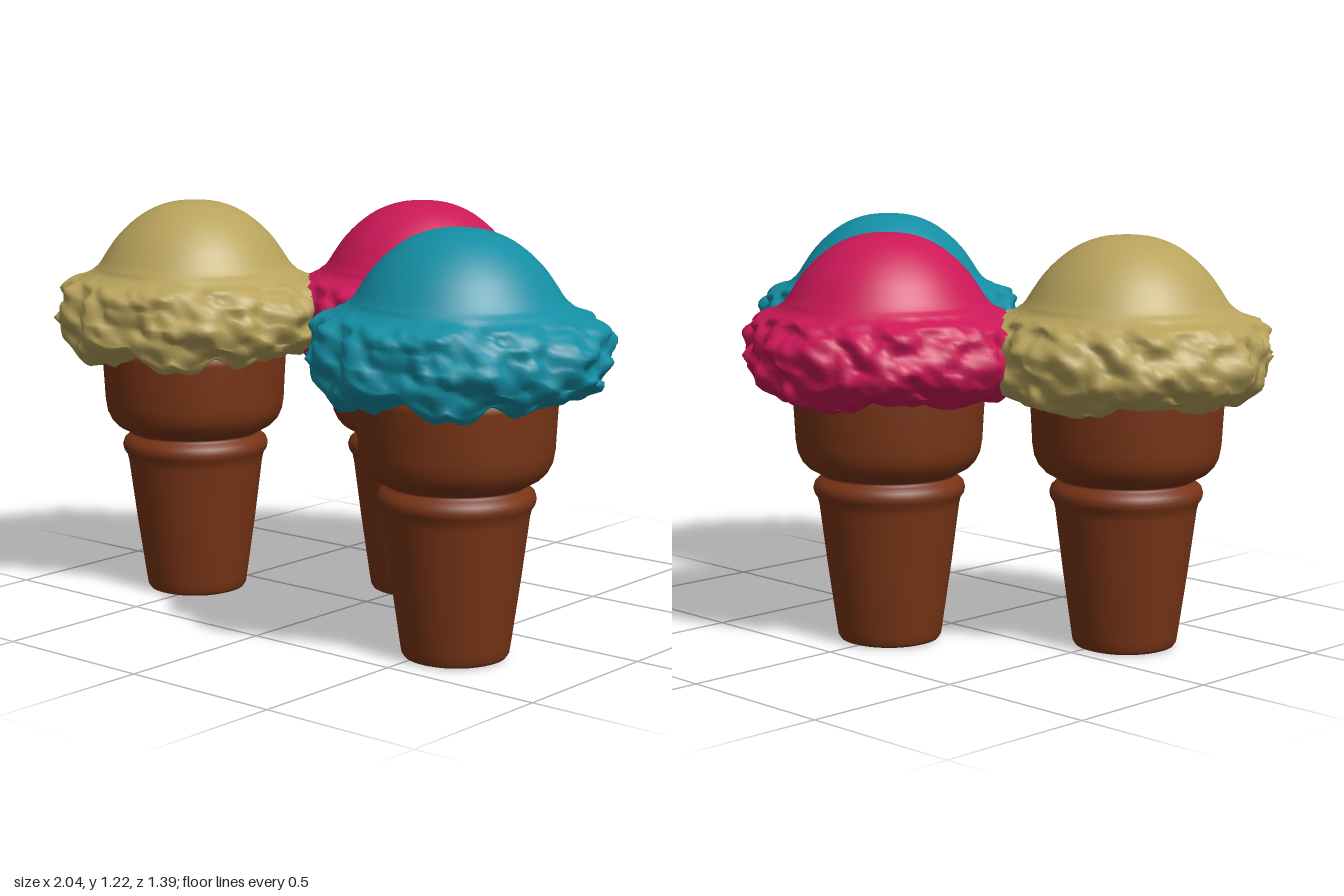
import * as THREE from 'three';
import { mergeVertices } from 'three/addons/utils/BufferGeometryUtils.js';

// Smooth value noise in 0..1, repeatable
const hash = (x, y, z) => {
  const s = Math.sin(x * 127.1 + y * 311.7 + z * 74.7) * 43758.5453;
  return s - Math.floor(s);
};
const fade = (t) => t * t * (3 - 2 * t);
const mix = THREE.MathUtils.lerp;
function noise(x, y, z) {
  const i = Math.floor(x), j = Math.floor(y), k = Math.floor(z);
  const u = fade(x - i), v = fade(y - j), w = fade(z - k);
  const row = (b, c) => mix(hash(i, b, c), hash(i + 1, b, c), u);
  return mix(mix(row(j, k), row(j + 1, k), v), mix(row(j, k + 1), row(j + 1, k + 1), v), w);
}

// Lathe a profile with a welded seam so the normals stay smooth
function turned(points, segments) {
  const g = new THREE.LatheGeometry(points, segments);
  g.deleteAttribute('uv');
  g.deleteAttribute('normal');
  const welded = mergeVertices(g, 1e-5);
  welded.computeVertexNormals();
  return welded;
}
const vectors = (list) => list.map(([r, y]) => new THREE.Vector2(r, y));

// Wafer cup: tapered foot, rounded collar, narrow neck and wide bowl
function waferGeometry() {
  return turned(vectors([
    [0, 0], [0.135, 0], [0.147, 0.004], [0.154, 0.015], [0.158, 0.04],
    [0.185, 0.23], [0.208, 0.41], [0.213, 0.432], [0.223, 0.447], [0.226, 0.462],
    [0.221, 0.478], [0.207, 0.491], [0.197, 0.497], [0.197, 0.503],
    [0.215, 0.511], [0.24, 0.525], [0.259, 0.545], [0.271, 0.57],
    [0.277, 0.605], [0.281, 0.68], [0.285, 0.745], [0.285, 0.77],
    [0.27, 0.775], [0, 0.775],
  ]), 64);
}

// Ice cream: smooth dome flowing into a rough, overhanging skirt
function scoopGeometry() {
  const curve = new THREE.SplineCurve(vectors([
    [0.235, 0.755], [0.3, 0.735], [0.352, 0.755], [0.395, 0.805], [0.412, 0.865],
    [0.402, 0.925], [0.372, 0.97], [0.325, 0.995], [0.295, 1.025], [0.272, 1.06],
    [0.24, 1.105], [0.195, 1.15], [0.14, 1.188], [0.075, 1.212], [0, 1.22],
  ]));
  const profile = curve.getPoints(64);
  profile[profile.length - 1].x = 0;
  const g = turned(profile, 144);
  const p = g.attributes.position;
  for (let i = 0; i < p.count; i++) {
    const x = p.getX(i), y = p.getY(i), z = p.getZ(i);
    const r = Math.hypot(x, z);
    const rough = 1 - THREE.MathUtils.smoothstep(y, 0.95, 1.01);
    if (rough === 0 || r < 0.01) continue;
    // Broad lobes, medium lumps and fine crumbs
    const lobe = noise(x * 7 + 9, 3, z * 7 + 9) - 0.5;
    const lump = noise(x * 17 + 20, y * 22, z * 17 + 20) - 0.5;
    const crumb = noise(x * 36 + 40, y * 44, z * 36 + 40) - 0.5;
    const push = rough * (lobe * 0.045 + lump * 0.055 + crumb * 0.022);
    // Uneven drips along the lower edge
    const low = 1 - THREE.MathUtils.smoothstep(y, 0.74, 0.84);
    const drip = low * (noise((x / r) * 5 + 50, 7, (z / r) * 5 + 50) - 0.5) * 0.07;
    const k = (r + push) / r;
    p.setXYZ(i, x * k * 1.03, y + drip + rough * crumb * 0.02, z * k * 0.985);
  }
  g.computeVertexNormals();
  return g;
}

export function createModel() {
  const model = new THREE.Group();
  model.name = 'iceCreamCones';
  const material = (color) => new THREE.MeshStandardMaterial({ color });
  const wafer = waferGeometry();
  const scoop = scoopGeometry();
  const waferMaterial = material(0x783416);

  const cones = [
    ['vanilla', -0.54, 0.19, 0xb8a35c],
    ['raspberry', 0.01, -0.25, 0xcc1858],
    ['blueberry', 0.567, 0.28, 0x148ea4],
  ];
  for (const [name, x, z, color] of cones) {
    const cone = new THREE.Group();
    cone.name = name + 'Cone';
    cone.position.set(x, 0, z);
    const cup = new THREE.Mesh(wafer, waferMaterial);
    cup.name = 'waferCup';
    const top = new THREE.Mesh(scoop, material(color));
    top.name = 'scoop';
    top.position.set(-0.01, 0, -0.018);
    cone.add(cup, top);
    model.add(cone);
  }
  return model;
}
